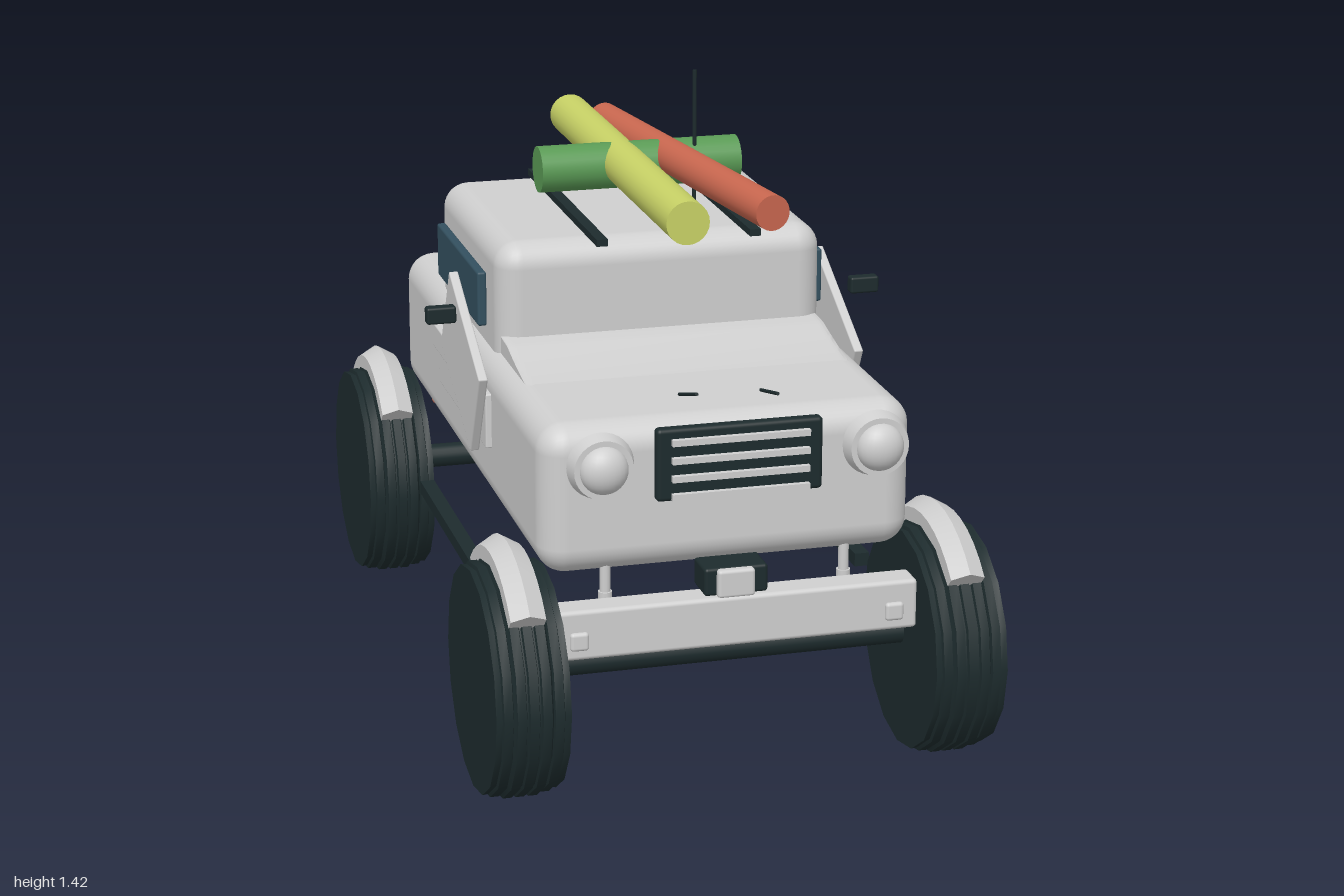
import * as THREE from 'three';
import { mergeGeometries, toCreasedNormals } from 'three/addons/utils/BufferGeometryUtils.js';
import { RoundedBoxGeometry } from 'three/addons/geometries/RoundedBoxGeometry.js';

const paint = (name, color) => {
  const m = new THREE.MeshStandardMaterial({ color });
  m.name = name;
  return m;
};

export function createModel() {
  const white = paint('white paint', 0xcfcfcf);
  const dark = paint('dark rubber', 0x1d2b2d);
  const glass = paint('blue glass', 0x33505f);
  const red = paint('red', 0xc9674f);
  const green = paint('green', 0x5a9a55);
  const yellow = paint('yellow', 0xc8d266);

  const root = new THREE.Group();
  root.name = 'offRoadTruck';

  const add = (name, geo, mat, x = 0, y = 0, z = 0) => {
    const m = new THREE.Mesh(geo, mat);
    m.name = name;
    m.position.set(x, y, z);
    root.add(m);
    return m;
  };
  const box = (name, mat, w, h, d, x, y, z) =>
    add(name, new THREE.BoxGeometry(w, h, d), mat, x, y, z);
  const rounded = (name, mat, w, h, d, r, x, y, z) =>
    add(name, new RoundedBoxGeometry(w, h, d, 4, r), mat, x, y, z);
  // round bar between two points
  const rod = (name, mat, r, a, b, sides = 16) => {
    const p = new THREE.Vector3(...a), q = new THREE.Vector3(...b);
    const m = add(name, new THREE.CylinderGeometry(r, r, p.distanceTo(q), sides), mat);
    m.position.addVectors(p, q).multiplyScalar(0.5);
    m.quaternion.setFromUnitVectors(new THREE.Vector3(0, 1, 0), q.sub(p).normalize());
    return m;
  };

  // ribbed tyre turned around the x axis
  const tyre = (radius, width) => {
    const h = width / 2;
    const pts = [[0, -h], [radius - 0.012, -h]];
    for (let i = -2; i <= 2; i++) {
      const c = i * width * 0.17, r = radius - (Math.abs(i) === 2 ? 0.006 : 0);
      pts.push([r - 0.008, c - width * 0.075], [r, c - width * 0.06],
        [r, c + width * 0.06], [r - 0.008, c + width * 0.075]);
    }
    pts.push([radius - 0.012, h], [0, h]);
    const g = new THREE.LatheGeometry(pts.map(p => new THREE.Vector2(...p)), 16);
    g.rotateZ(Math.PI / 2);
    return toCreasedNormals(g, 0.5);
  };

  // six-sided mudguard arc with capped ends
  const fenderGeometry = () => {
    const R = 0.27, t = 0.045;
    const g = mergeGeometries([
      new THREE.TorusGeometry(R, t, 6, 10, Math.PI / 2),
      new THREE.CircleGeometry(t, 6).rotateX(Math.PI / 2).translate(R, 0, 0),
      new THREE.CircleGeometry(t, 6).rotateZ(Math.PI / 2).rotateY(-Math.PI / 2).translate(0, R, 0),
    ]);
    return toCreasedNormals(g.rotateZ(Math.PI / 4).rotateY(Math.PI / 2), 0.6);
  };

  // body, cab and the sloping cowl between them
  rounded('body', white, 0.85, 0.345, 1.54, 0.065, 0, 0.66, 0);
  rounded('cab', white, 0.78, 0.38, 0.665, 0.06, 0, 0.9, -0.13);
  const slope = new THREE.Shape();
  slope.moveTo(-0.46, 0.8);
  slope.lineTo(-0.46, 0.825);
  slope.quadraticCurveTo(-0.36, 0.835, -0.24, 0.865);
  slope.lineTo(-0.15, 0.87);
  slope.lineTo(-0.15, 0.8);
  const cowl = new THREE.ExtrudeGeometry(slope, { depth: 0.72, bevelEnabled: true,
    bevelSize: 0.005, bevelThickness: 0.02, bevelSegments: 3 });
  cowl.translate(0, 0, -0.36).rotateY(Math.PI / 2);
  // the profile runs toward the front, so its x becomes -z
  add('cowl', toCreasedNormals(cowl, 0.6), white);
  box('underbodyPlate', dark, 0.35, 0.02, 0.58, 0, 0.467, 0.08);

  // grille with four slats
  rounded('grille', dark, 0.375, 0.165, 0.03, 0.01, 0, 0.757, 0.832);
  for (let i = 0; i < 4; i++)
    box('grilleSlat', white, 0.31, 0.014, 0.02, 0, 0.687 + i * 0.041, 0.85);

  // front bumper and winch
  rounded('bumper', white, 0.83, 0.115, 0.075, 0.01, 0, 0.382, 0.805);
  rounded('winch', dark, 0.145, 0.065, 0.09, 0.008, 0, 0.47, 0.78);
  rounded('winchDrum', white, 0.085, 0.065, 0.06, 0.008, -0.003, 0.468, 0.81);

  // wipers
  rod('wiper', dark, 0.004, [-0.1, 0.915, 0.85], [-0.1, 0.872, 0.71], 8);
  rod('wiper', dark, 0.004, [0.083, 0.9, 0.845], [0.083, 0.87, 0.72], 8);

  const tyreGeo = tyre(0.266, 0.165), fenderGeo = fenderGeometry();
  for (const s of [-1, 1]) {
    // wheels, mudguards and shock absorbers
    for (const z of [-0.735, 0.735]) {
      add('wheel', tyreGeo, dark, s * 0.495, 0.262, z);
      add('fender', fenderGeo, white, s * 0.495, 0.262, z);
      rod('shockAbsorber', white, 0.012, [s * 0.275, 0.3, z], [s * 0.275, 0.53, z], 12);
      rod('shockSleeve', white, 0.016, [s * 0.275, 0.41, z], [s * 0.275, 0.44, z], 12);
    }

    // headlights
    const ring = add('headlightRing', new THREE.CylinderGeometry(0.066, 0.075, 0.035, 32),
      white, s * 0.31, 0.767, 0.853);
    ring.rotation.x = Math.PI / 2;
    const lens = add('headlightLens', new THREE.SphereGeometry(0.054, 24, 16),
      white, s * 0.31, 0.767, 0.867);
    lens.scale.z = 0.75;
    rounded('bumperSquare', white, 0.042, 0.042, 0.02, 0.008, s * 0.36, 0.37, 0.842);

    // tail lights
    rounded('tailLight', red, 0.08, 0.045, 0.025, 0.006, s * 0.31, 0.424, -0.807);
    rounded('tailLightUpper', red, 0.045, 0.045, 0.025, 0.006, s * 0.31, 0.463, -0.807);

    // side windows and mirrors
    rounded('sideWindow', glass, 0.022, 0.13, 0.465, 0.006, s * 0.407, 0.94, -0.13);
    rounded('mirror', dark, 0.07, 0.04, 0.03, 0.006, s * 0.512, 0.92, 0.132);

    // loose door panel above a stepped side panel
    const door = rounded('tiltedPanel', white, 0.022, 0.232, 0.364, 0.004, s * 0.449, 0.79, 0.085);
    door.rotation.x = THREE.MathUtils.degToRad(28);
    rounded('sidePanel', white, 0.03, 0.13, 0.53, 0.004, s * 0.424, 0.697, 0.005);
    rounded('sidePanelStep', white, 0.035, 0.06, 0.21, 0.004, s * 0.426, 0.74, -0.215);

    // side step and roof rail
    box('sideStep', dark, 0.035, 0.032, 0.775, s * 0.445, 0.31, -0.025);
    box('roofRail', dark, 0.026, 0.016, 0.69, s * 0.18, 1.123, 0);
  }

  // axles
  for (const z of [-0.735, 0.735])
    rod('axle', dark, 0.03, [-0.42, 0.28, z], [0.42, 0.28, z]);

  // fuel cap on the left side only
  const cap = add('fuelCap', new THREE.SphereGeometry(0.042, 20, 12), glass, 0.425, 0.55, -0.205);
  cap.scale.set(0.65, 0.52, 1);

  // spare wheels at the back
  add('spareWheel', tyre(0.213, 0.132), dark, 0, 0.77, -0.735);
  add('thinSpareWheel', tyre(0.198, 0.025), dark, 0.208, 0.78, -0.66);

  // antenna and the rolls carried on the roof
  rod('antenna', dark, 0.005, [0.145, 1.07, -0.05], [0.145, 1.42, -0.05], 8);
  rod('yellowRoll', yellow, 0.05, [-0.03, 1.205, 0.525], [-0.03, 1.205, -0.585], 24);
  rod('redRoll', red, 0.041, [0.167, 1.214, 0.52], [0.03, 1.214, -0.472], 24);
  rod('greenRoll', green, 0.055, [-0.23, 1.195, -0.08], [0.256, 1.195, -0.08], 24);

  return root;
}
